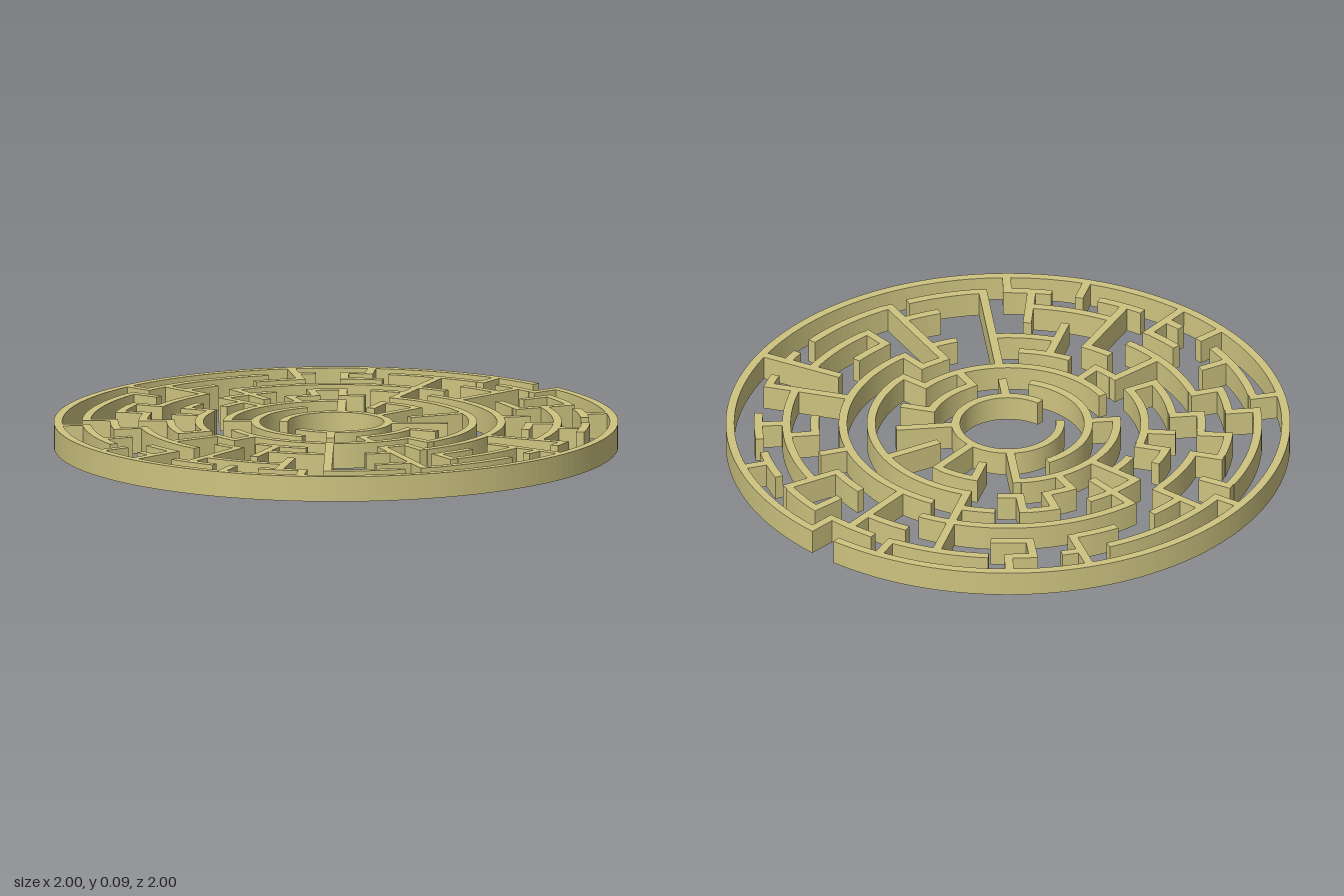
import * as THREE from 'three';

const HEIGHT = 0.09, WALL = 0.03, STEP = Math.PI / 32;
const ringRadius = (ring) => 0.185 + 0.1 * ring;

// Extruded band that follows one ring between two directions (64ths of a turn, clockwise from the back)
function arcGeometry(ring, start, end) {
  const n = (end - start) * 3;
  const points = [];
  for (const side of [1, -1]) {
    for (let i = 0; i <= n; i++) {
      const a = (side > 0 ? start + i / 3 : end - i / 3) * STEP;
      const r = ringRadius(ring) + side * WALL / 2;
      points.push(new THREE.Vector2(r * Math.sin(a), r * Math.cos(a)));
    }
  }
  return new THREE.ExtrudeGeometry(new THREE.Shape(points), { depth: HEIGHT, bevelEnabled: false })
    .rotateX(-Math.PI / 2);
}

// Straight wall between two rings, with one long side on the radial line
function spokeGeometry(direction, inner, outer) {
  const r0 = ringRadius(inner), r1 = ringRadius(outer);
  return new THREE.BoxGeometry(WALL, HEIGHT, r1 - r0 + WALL * 0.8)
    .translate(WALL / 2, HEIGHT / 2, -(r0 + r1) / 2)
    .rotateY(-direction * STEP);
}

export function createModel() {
  const model = new THREE.Group();
  model.name = 'circularMaze';
  const material = new THREE.MeshStandardMaterial({ color: 0xcdc380 });

  // A wall walks through the maze, turning between along-ring and radial at every move
  const walk = (name, alongRing, ring, angle, moves) => {
    const wall = new THREE.Group();
    wall.name = name;
    for (const target of moves) {
      const mesh = new THREE.Mesh(alongRing
        ? arcGeometry(ring, Math.min(angle, target), Math.max(angle, target))
        : spokeGeometry(angle, Math.min(ring, target), Math.max(ring, target)), material);
      mesh.name = alongRing ? 'curvedWall' : 'radialWall';
      wall.add(mesh);
      if (alongRing) angle = target;
      else ring = target;
      alongRing = !alongRing;
    }
    model.add(wall);
  };
  // Walls that begin along a ring, or begin radially
  const curve = (name, ring, angle, ...moves) => walk(name, true, ring, angle, moves);
  const spoke = (name, ring, angle, ...moves) => walk(name, false, ring, angle, moves);
  // Short straight walls that cross one corridor
  const studs = (ring, ...angles) => angles.forEach((a) => spoke('stud', ring, a, ring + 1));
  // Short curved walls of equal length on one ring
  const bars = (ring, length, ...angles) => angles.forEach((a) => curve('bar', ring, a, a + length));

  // Outer ring with its entrance, and the ring around the centre
  curve('outerRing', 7, -1, 1, 8, 64);
  curve('innerRing', 0, 40, 96);

  // Inner corridors
  spoke('innerHook', 1, 60, 2, 64, 0);
  spoke('innerSpoke', 0, 8, 2);
  spoke('innerSpoke', 1, 4, 3);
  spoke('innerLoop', 0, 56, 2, 40, 1);
  curve('innerArc', 1, 28, 52);
  curve('innerArc', 2, 20, 36);
  spoke('innerLongWall', 2, 12, 1, 20, 2, 16, 3, -4, 7);

  // Middle and outer corridors, back to left side
  curve('middleLongWall', 4, 62, 82, 3, 84, 7, 80);
  spoke('backSpoke', 4, 0, 7);
  spoke('backSpiral', 6, 2, 7, 4, 5, 2);
  curve('backArc', 6, 4, 12);
  spoke('leftSpoke', 4, 12, 7, 13);
  curve('leftHook', 5, 10, 8, 6);
  spoke('leftSpoke', 8, 14, 5);
  curve('leftHook', 6, 14, 18, 5, 16);

  // Left side to front
  spoke('frontLeftSpoke', 2, 24, 7, 21);
  curve('frontArc', 4, 24, 28);
  curve('frontArc', 3, 26, 30);
  spoke('frontSpoke', 3, 28, 5);
  curve('frontHook', 4, 32, 30, 7);
  curve('frontArc', 6, 26, 30);
  spoke('frontSpoke', 5, 26, 7);
  curve('frontHook', 7, 27, 25, 8);

  // Front to right side
  spoke('frontHook', 5, 34, 3, 32, 2);
  curve('frontHook', 6, 34, 32, 8);
  curve('frontHook', 7, 35, 39, 8);
  curve('frontRightZigzag', 5, 32, 38, 6, 40, 7, 46, 6);
  spoke('rightZigzag', 7, 48, 5, 44, 6, 42, 5, 40, 4, 36, 3, 44, 4, 46);
  curve('rightHook', 7, 53, 47, 8);
  curve('rightHook', 4, 52, 48, 2);

  // Right side to back
  spoke('rightArc', 3, 50, 5, 62);
  spoke('backRightZigzag', 2, 52, 3, 54, 4, 56, 3, 58);
  spoke('backRightHook', 8, 54, 6, 52);
  spoke('backRightZigzag', 8, 57, 7, 56, 6, 58);
  curve('backHook', 7, 58, 62, 8);

  // Short dividers
  studs(0, 24);
  studs(3, 42);
  studs(4, 6);
  studs(6, 9, 36);
  studs(7, 6, 28, 34);
  bars(3, 2, 46);
  bars(4, 2, 20, 58);
  bars(6, 2, 20, 48, 62);
  bars(7, 2, 5, 8, 29);
  bars(7, 1, 14, 32, 54);

  return model;
}
